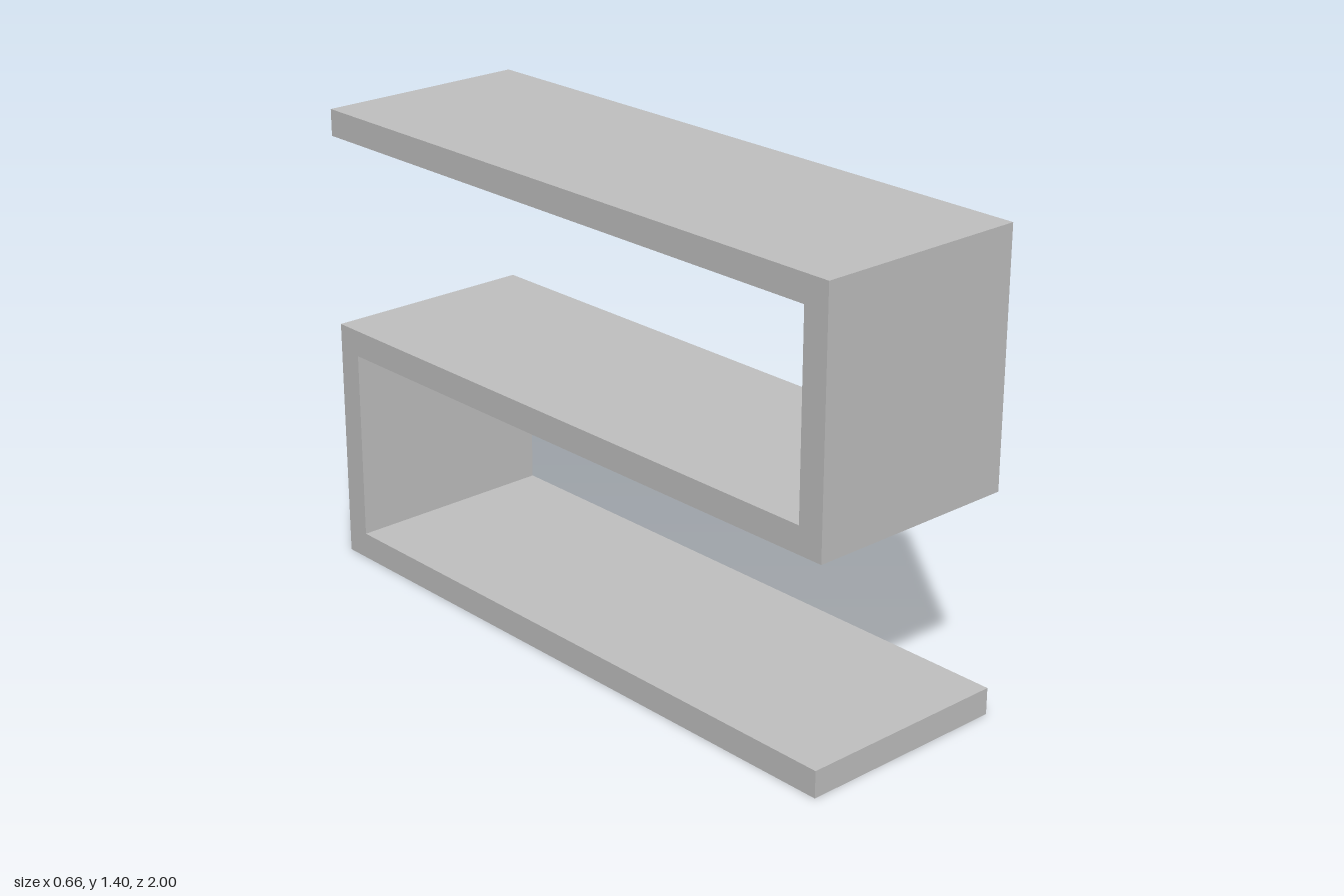
import * as THREE from 'three';

export function createModel() {
  const group = new THREE.Group();
  group.name = 'zigzagShelf';

  const gray = new THREE.MeshStandardMaterial({ color: 0xc0c0c0 });
  gray.name = 'light gray';

  const width = 0.66, height = 1.4, t = 0.08;
  const mid = (height - t) / 2; // underside of the middle board

  // Side profile as [z, y]: three boards joined by a back and a front upright
  const profile = [
    [1, 0], [1, t], [-1 + t, t], [-1 + t, mid], [1, mid], [1, height],
    [-1, height], [-1, height - t], [1 - t, height - t], [1 - t, mid + t],
    [-1, mid + t], [-1, 0],
  ].map(([z, y]) => new THREE.Vector2(z, y));

  // Extrude across the width, then turn so the profile runs along z
  const geometry = new THREE.ExtrudeGeometry(new THREE.Shape(profile), {
    depth: width, bevelEnabled: false,
  });
  geometry.translate(0, 0, -width / 2);
  geometry.rotateY(-Math.PI / 2);

  const shelf = new THREE.Mesh(geometry, gray);
  shelf.name = 'foldedShelfBoard';
  group.add(shelf);
  return group;
}
